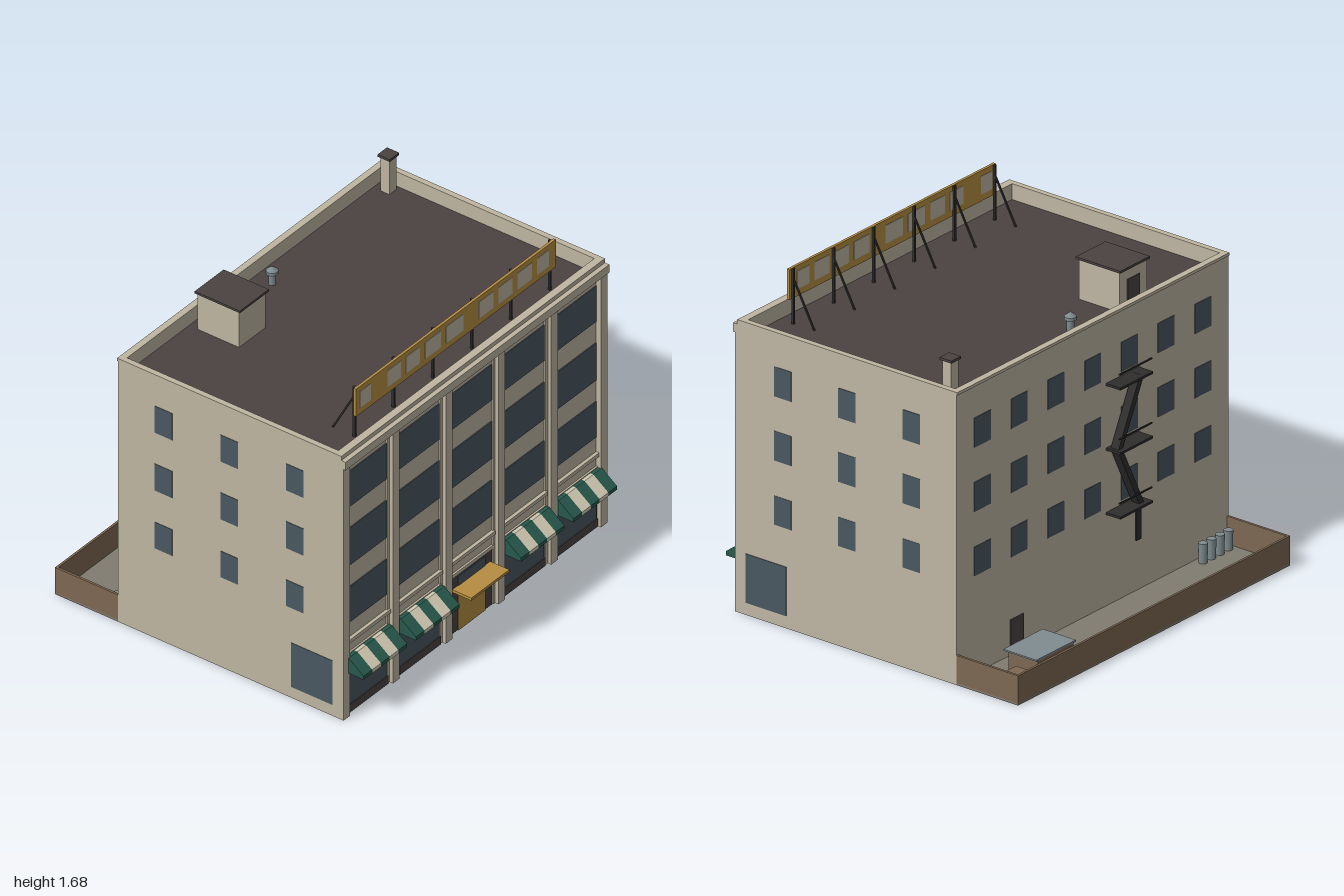
import * as THREE from 'three';

const mat = (name, color) => {
  const m = new THREE.MeshStandardMaterial({ color });
  m.name = name;
  return m;
};

export function createModel() {
  const model = new THREE.Group();
  model.name = 'cornerBuilding';
  const wall = mat('stone', 0xbfb6a2), glass = mat('glass', 0x4a5861), dark = mat('darkTar', 0x4a4342),
    gold = mat('mustard', 0xb68d42), green = mat('awningGreen', 0x27594d), cream = mat('cream', 0xd3cbb5),
    brown = mat('brick', 0x7e6853), metal = mat('zinc', 0x7f8c8f), iron = mat('iron', 0x302d2d),
    paving = mat('paving', 0x807c70);

  const add = (name, geo, material, parent = model) => {
    const m = new THREE.Mesh(geo, material);
    m.name = name;
    parent.add(m);
    return m;
  };
  // box given by its extents
  const box = (name, material, x0, x1, y0, y1, z0, z1, parent = model) => {
    const m = add(name, new THREE.BoxGeometry(x1 - x0, y1 - y0, z1 - z0), material, parent);
    m.position.set((x0 + x1) / 2, (y0 + y1) / 2, (z0 + z1) / 2);
    return m;
  };
  // bar of rectangular section between two points
  const bar = (name, material, a, b, w, d, parent = model) => {
    const p = new THREE.Vector3(...a), q = new THREE.Vector3(...b);
    const m = add(name, new THREE.BoxGeometry(w, p.distanceTo(q), d), material, parent);
    m.position.copy(p).lerp(q, 0.5);
    m.quaternion.setFromUnitVectors(new THREE.Vector3(0, 1, 0), q.sub(p).normalize());
    return m;
  };
  const group = (name) => {
    const g = new THREE.Group();
    g.name = name;
    model.add(g);
    return g;
  };

  // Main block, roof deck and parapet
  const FRONT = 0.765, BACK = -0.515, ROOF = 1.4;
  box('mainBlock', wall, -1, 1, 0, ROOF - 0.005, BACK, FRONT);
  box('roofDeck', dark, -0.97, 0.97, ROOF - 0.005, ROOF, -0.485, 0.74);
  box('frontParapet', wall, -1, 1, ROOF - 0.005, 1.48, 0.74, 0.78);
  box('backParapet', wall, -1, 1, ROOF - 0.005, 1.48, BACK, -0.485);
  box('backCoping', wall, -1, 1, 1.465, 1.48, -0.52, BACK);
  for (const s of [-1, 1])
    box('sideParapet', wall, Math.min(s, s * 0.97), Math.max(s, s * 0.97), ROOF - 0.005, 1.48, -0.485, 0.74);
  box('cornice', wall, -1, 1, 1.412, 1.457, 0.765, 0.805);

  // Front piers
  for (const x of [-0.6, -0.2, 0.2, 0.6]) {
    box('pier', wall, x - 0.025, x + 0.025, 0, 1.412, FRONT, 0.793);
    box('pierBacking', wall, x - 0.042, x + 0.042, 0, 1.412, FRONT, 0.773);
  }
  box('cornerPier', wall, -1, -0.952, 0, 1.412, FRONT, 0.793);
  box('cornerPier', wall, 0.952, 1, 0, 1.412, FRONT, 0.793);

  // Front bays
  for (let i = -2; i <= 2; i++) {
    const c = i * 0.397, w = 0.156;
    for (const [y0, y1] of [[0.5, 0.7], [0.82, 1.03], [1.15, 1.35]])
      box('frontWindow', glass, c - w, c + w, y0, y1, FRONT, FRONT + 0.005);
    box('stringCourse', wall, c - 0.165, c + 0.165, 0.395, 0.415, FRONT, 0.783);
    box('shopLintel', wall, c - 0.165, c + 0.165, 0.315, 0.335, FRONT, 0.775);
    box('shopSurround', dark, c - 0.16, c + 0.16, 0, 0.312, FRONT, FRONT + 0.004);
    if (i) {
      box('shopWindow', glass, c - 0.156, c + 0.15, 0.045, 0.31, FRONT, FRONT + 0.008);
      box('shopPlinth', dark, c - 0.156, c + 0.156, 0, 0.045, FRONT, 0.777);
    }
  }

  // Entrance
  box('entranceDoor', gold, -0.102, 0.102, 0, 0.212, FRONT, FRONT + 0.009);
  box('transom', glass, -0.102, 0.102, 0.212, 0.302, FRONT, FRONT + 0.008);
  box('entranceCanopy', gold, -0.145, 0.143, 0.235, 0.25, FRONT, 0.88);

  // Striped awnings
  const profile = new THREE.Shape();
  [[0.77, 0.33], [0.77, 0.245], [0.88, 0.245], [0.88, 0.265], [0.793, 0.33]]
    .forEach(([z, y], i) => (i ? profile.lineTo(z, y) : profile.moveTo(z, y)));
  const stripeW = 0.066;
  const stripe = new THREE.ExtrudeGeometry(profile, { depth: stripeW, bevelEnabled: false });
  stripe.rotateY(-Math.PI / 2).translate(stripeW / 2, 0, 0);
  for (const c of [-0.797, -0.4, 0.397, 0.795]) {
    const awning = group('awning');
    for (let k = -2; k <= 2; k++)
      add('awningStripe', stripe, k % 2 ? cream : green, awning).position.x = c + k * stripeW;
  }

  // Side and back windows
  const rows = [[0.505, 0.652], [0.83, 0.98], [1.155, 1.305]];
  for (const s of [-1, 1]) {
    const x0 = s * 1 - 0.002, x1 = s * 1 + 0.002;
    for (const [y0, y1] of rows)
      for (const z of [0.511, 0.131, -0.25])
        box('sideWindow', glass, x0, x1, y0, y1, z - 0.051, z + 0.051);
    box('sideShopWindow', glass, x0, x1, 0.062, 0.31, 0.49, 0.73);
  }
  for (const [y0, y1] of rows)
    for (let i = -3; i <= 3; i++)
      box('backWindow', glass, i * 0.27 - 0.06, i * 0.27 + 0.06, y0, y1, BACK - 0.003, BACK);
  box('backDoor', dark, 0.51, 0.605, 0.01, 0.19, BACK - 0.005, BACK);

  // Fire escape
  const escape = group('fireEscape');
  for (const y of [0.477, 0.803, 1.13]) {
    box('landing', iron, -0.34, -0.1, y - 0.006, y + 0.006, -0.6, BACK, escape);
    box('rail', iron, -0.34, -0.1, y + 0.068, y + 0.075, -0.597, -0.59, escape);
  }
  bar('upperStair', iron, [-0.29, 1.13, -0.553], [-0.13, 0.803, -0.553], 0.03, 0.045, escape);
  bar('lowerStair', iron, [-0.13, 0.803, -0.553], [-0.29, 0.477, -0.553], 0.03, 0.045, escape);
  box('dropLadder', iron, -0.308, -0.272, 0.29, 0.477, -0.558, -0.548, escape);

  // Roof sign on braced posts
  const sign = group('roofSign');
  box('signBoard', gold, -0.757, 0.757, 1.525, 1.68, 0.666, 0.68, sign);
  for (const [a, b] of [[-0.73, -0.648], [-0.52, -0.42], [-0.382, -0.277], [-0.235, -0.115], [-0.075, 0.053],
    [0.172, 0.283], [0.322, 0.428], [0.465, 0.575], [0.613, 0.703]])
    box('signPanel', wall, a, b, 1.56, 1.652, 0.664, 0.682, sign);
  for (let i = 0; i < 6; i++) {
    const x = -0.743 + i * 0.296;
    box('signPost', iron, x - 0.006, x + 0.006, ROOF, 1.68, 0.654, 0.666, sign);
    bar('signBrace', iron, [x, 1.63, 0.66], [x, ROOF, 0.535], 0.008, 0.008, sign);
  }

  // Stair house, chimney and vent
  box('stairHouse', wall, -0.5, -0.3, ROOF, 1.603, -0.435, -0.195);
  box('stairHouseRoof', dark, -0.51, -0.29, 1.603, 1.615, -0.445, -0.183);
  box('stairHouseDoor', dark, -0.445, -0.355, ROOF, 1.55, -0.439, -0.435);
  box('chimney', wall, 0.895, 0.948, ROOF, 1.592, -0.442, -0.39);
  box('chimneyCap', dark, 0.886, 0.957, 1.592, 1.605, -0.451, -0.381);
  add('ventPipe', new THREE.CylinderGeometry(0.018, 0.018, 0.07, 10), metal).position.set(0, 1.435, -0.385);
  add('ventHood', new THREE.CylinderGeometry(0.03, 0.03, 0.016, 10), metal).position.set(0, 1.468, -0.385);
  add('ventCap', new THREE.ConeGeometry(0.03, 0.022, 10), metal).position.set(0, 1.487, -0.385);

  // Rear yard
  box('yardFloor', paving, -1, 1, 0, 0.01, -0.88, BACK);
  box('yardBackWall', brown, -1, 1, 0, 0.15, -0.88, -0.868);
  for (const s of [-1, 1])
    box('yardSideWall', brown, s * 0.994 - 0.006, s * 0.994 + 0.006, 0, 0.15, -0.868, BACK);
  box('shed', brown, 0.575, 0.835, 0.01, 0.165, -0.865, -0.69);
  box('shedRoof', metal, 0.56, 0.85, 0.165, 0.173, -0.868, -0.672);
  box('crate', brown, 0.868, 0.95, 0.01, 0.12, -0.842, -0.762);
  for (let i = 0; i < 4; i++)
    add('bin', new THREE.CylinderGeometry(0.023, 0.021, 0.1, 10), metal).position.set(-0.943 + i * 0.062, 0.06, -0.56);

  return model;
}
